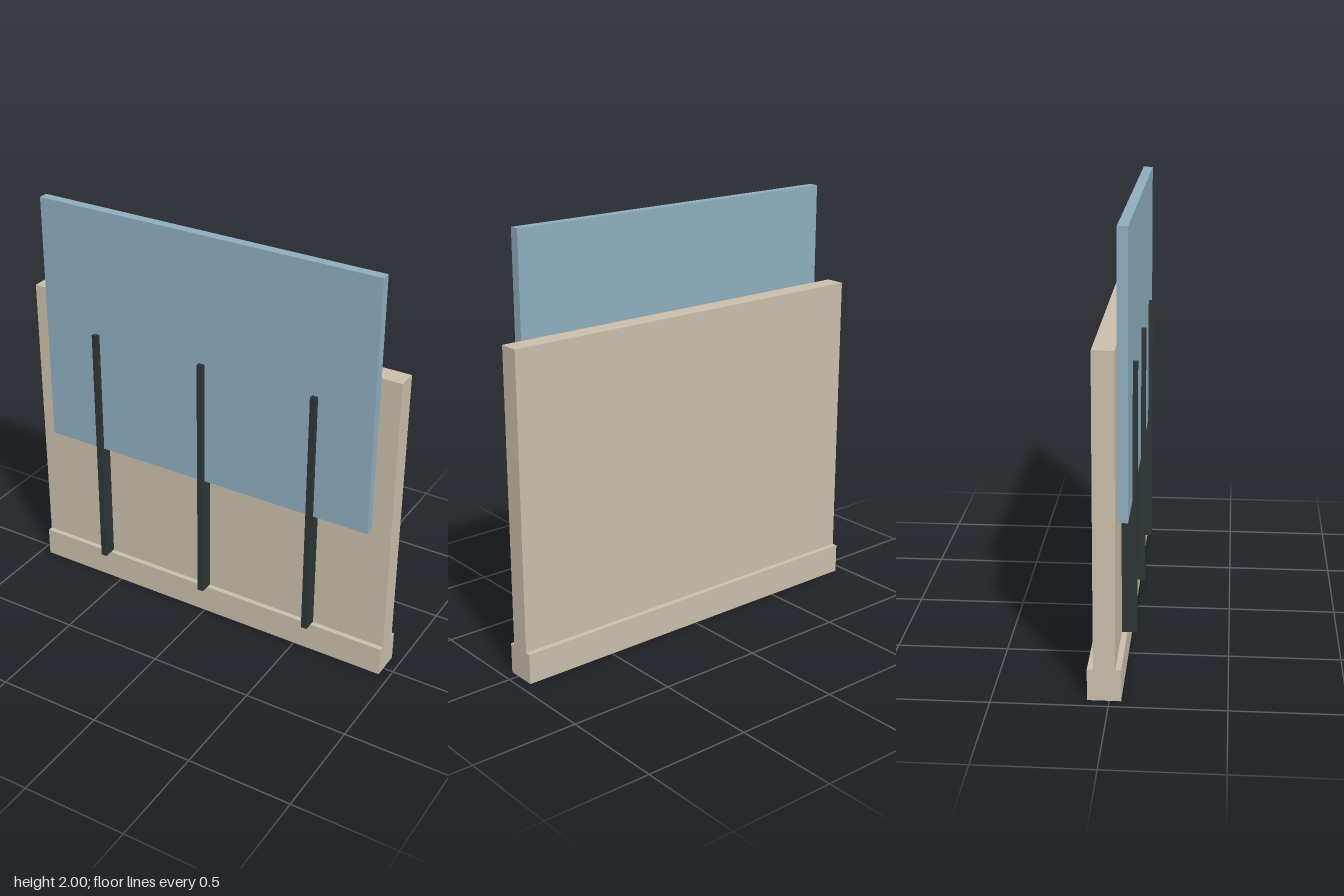
import * as THREE from 'three';

export function createModel() {
  const model = new THREE.Group();
  model.name = 'slidingPanelWall';

  const material = (name, color) => {
    const m = new THREE.MeshStandardMaterial({ color });
    m.name = name;
    return m;
  };
  const stone = material('warm stone', 0xc9beaa);
  const glass = material('pale blue glass', 0x8eadbe);
  const steel = material('dark steel', 0x2d3535);

  // Box given by its lower and upper limits on each axis
  const addBox = (name, mat, [x0, x1], [y0, y1], [z0, z1]) => {
    const mesh = new THREE.Mesh(new THREE.BoxGeometry(x1 - x0, y1 - y0, z1 - z0), mat);
    mesh.position.set((x0 + x1) / 2, (y0 + y1) / 2, (z0 + z1) / 2);
    mesh.name = name;
    model.add(mesh);
  };

  // Parapet wall standing on a wider plinth
  addBox('plinth', stone, [-0.951, 0.951], [0, 0.143], [-0.094, 0.051]);
  addBox('wall', stone, [-0.951, 0.951], [0.143, 1.525], [-0.068, 0.026]);

  // Raised panel in front of the wall
  addBox('panel', glass, [-0.856, 0.856], [0.767, 2], [0.0275, 0.073]);

  // Three vertical guide rails carrying the panel
  for (const x of [-0.572, 0, 0.572]) {
    addBox('guideRail', steel, [x - 0.0145, x + 0.0145], [0.145, 1.382], [0.026, 0.094]);
  }

  return model;
}
